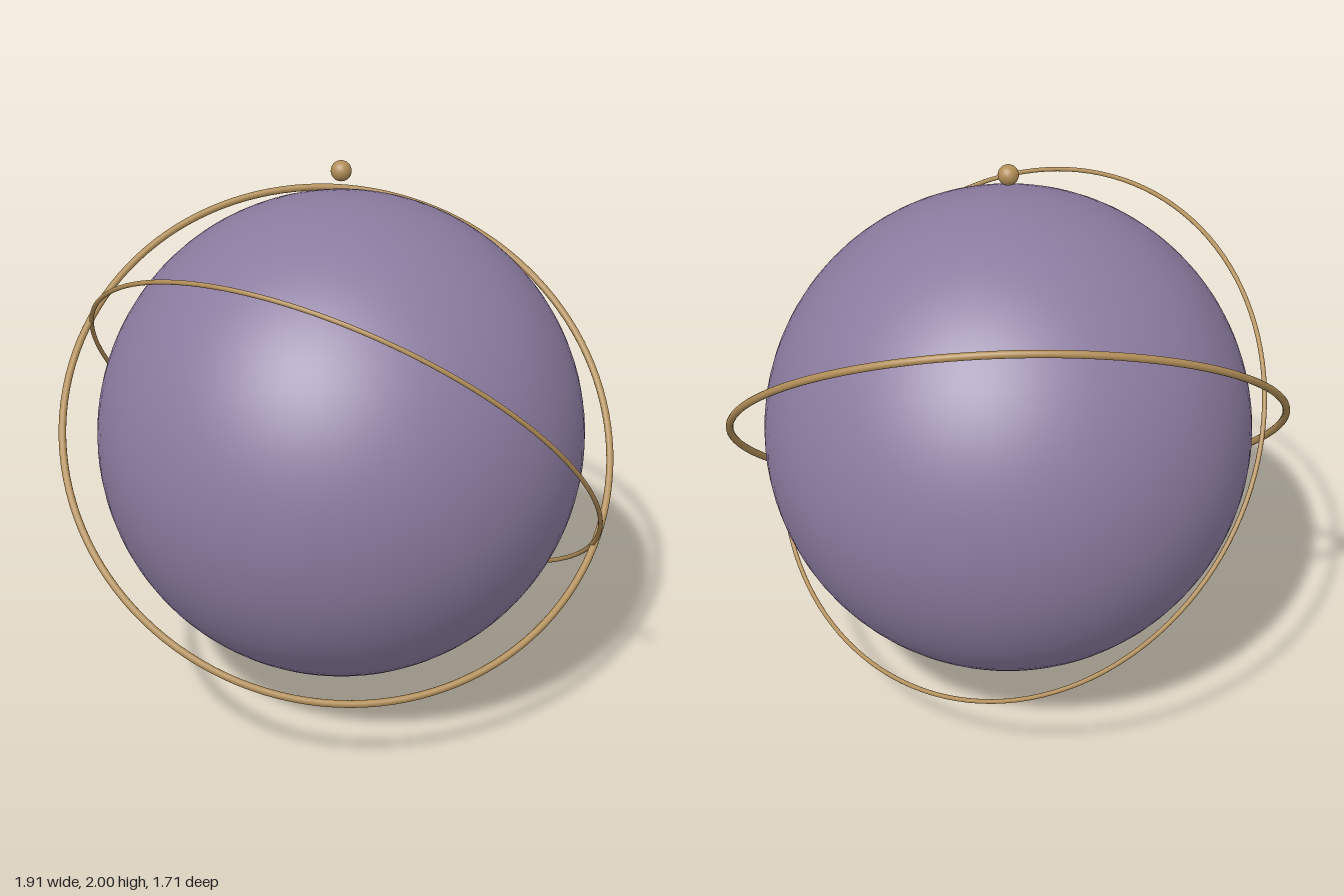
import * as THREE from 'three';

export function createModel() {
  const model = new THREE.Group();
  model.name = 'ringedGlobe';

  const purple = new THREE.MeshStandardMaterial({ color: 0x8b7b9f });
  purple.name = 'dusty purple';
  const brass = new THREE.MeshStandardMaterial({ color: 0xb08d57 });
  brass.name = 'brass';

  const add = (name, geometry, material, y) => {
    const mesh = new THREE.Mesh(geometry, material);
    mesh.name = name;
    mesh.position.y = y;
    model.add(mesh);
    return mesh;
  };

  // Central globe
  add('globe', new THREE.SphereGeometry(0.857, 72, 48), purple, 1);

  // Small balls floating at the poles
  for (const [name, side] of [['topBall', 1], ['bottomBall', -1]]) {
    add(name, new THREE.SphereGeometry(0.035, 24, 16), brass, 1 + side * 0.965);
  }

  // Tilted orbit rings, each aimed along its axis
  const zAxis = new THREE.Vector3(0, 0, 1);
  const addRing = (name, radius, tube, axis) => {
    const ring = add(name, new THREE.TorusGeometry(radius, tube, 12, 128), brass, 1);
    ring.quaternion.setFromUnitVectors(zAxis, new THREE.Vector3(...axis).normalize());
  };
  addRing('thickRing', 0.977, 0.013, [0.257, 0.719, 0.644]);
  addRing('thinRing', 0.97, 0.008, [0.266, 0.643, -0.719]);

  return model;
}
